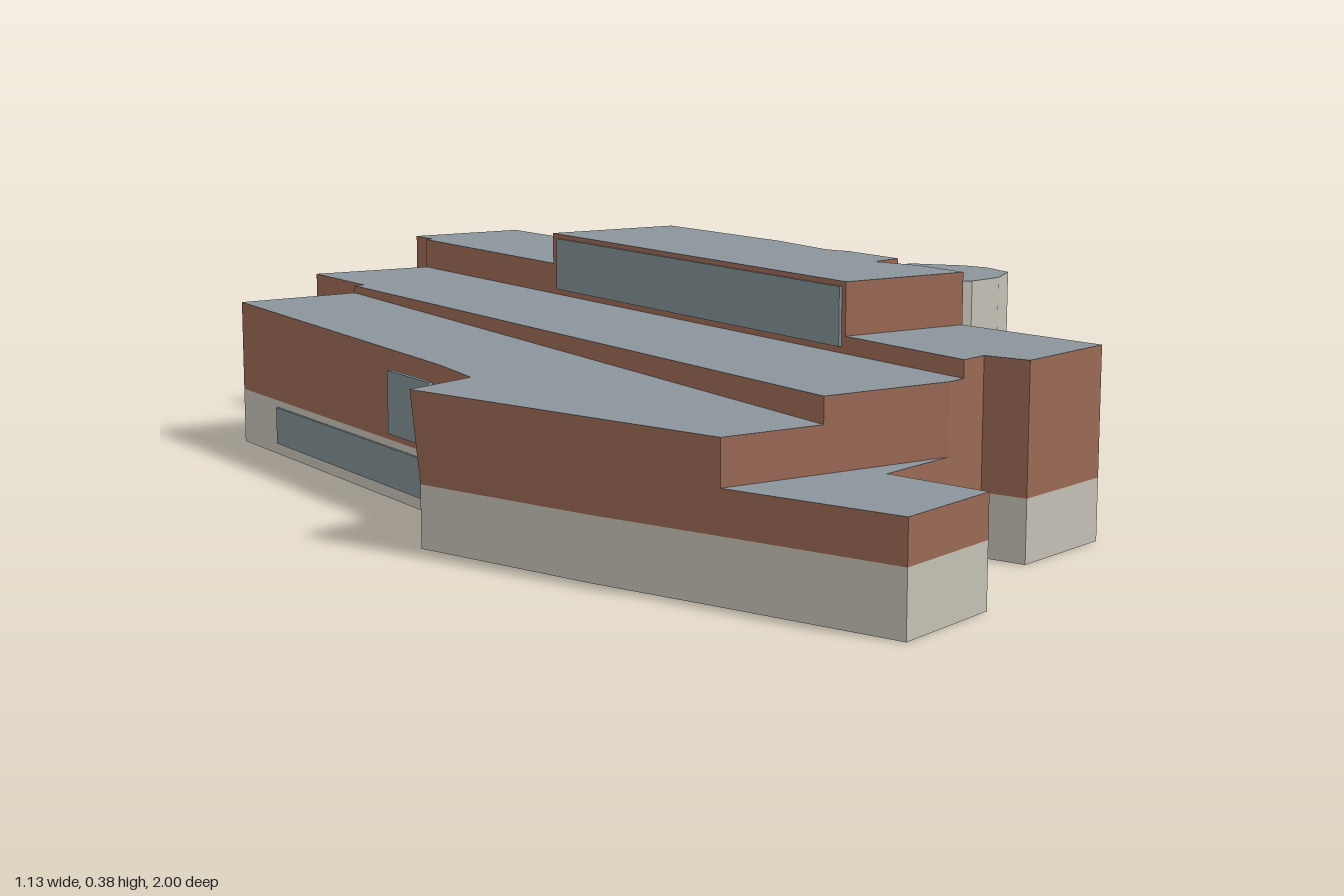
import * as THREE from 'three';

const BASE = 0.097; // top of the stone plinth

export function createModel() {
  const model = new THREE.Group();
  model.name = 'building';

  const mat = (name, color) => {
    const m = new THREE.MeshStandardMaterial({ color });
    m.name = name;
    return m;
  };
  const roof = mat('slate roof', 0x8a949b);
  const brick = mat('brick', 0x9a6854);
  const stone = mat('pale stone', 0xc4c0b5);
  stone.side = THREE.DoubleSide;
  const glass = mat('window glass', 0x7f8e90);

  // Vertical prism over a plan outline of [x, z] points
  const prism = (name, plan, y0, y1, wall, reshape) => {
    const shape = new THREE.Shape(plan.map(([x, z]) => new THREE.Vector2(x, -z)));
    const geo = new THREE.ExtrudeGeometry(shape, { depth: y1 - y0, bevelEnabled: false });
    geo.rotateX(-Math.PI / 2).translate(0, y0, 0);
    if (reshape) {
      const p = geo.attributes.position;
      for (let i = 0; i < p.count; i++) {
        const v = new THREE.Vector3().fromBufferAttribute(p, i);
        reshape(v);
        p.setXYZ(i, v.x, v.y, v.z);
      }
      geo.computeVertexNormals();
    }
    const mesh = new THREE.Mesh(geo, [roof, wall]);
    mesh.name = name;
    model.add(mesh);
  };

  // Left wing: roof falls gently to the front, flared corner leans outward
  prism('leftWing', [[-0.43, -0.72], [-0.2, -0.73], [-0.2, 0.725], [-0.37, 0.725],
    [-0.45, 0.515], [-0.565, 0.21], [-0.44, 0.165], [-0.43, 0.05]], BASE, 0.25, brick, (v) => {
    if (v.y > 0.2) v.y = 0.2435 - 0.0178 * v.z;
    else if (v.x < -0.56) v.x = -0.55;
  });

  // Central hall
  prism('centralHall', [[-0.2, -0.73], [-0.18, -0.73], [-0.18, -0.94], [0.055, -0.93],
    [0.055, 0.715], [0.022, 0.725], [-0.2, 0.725]], BASE, 0.27, brick);

  // Right range in three heights
  prism('rightRangeBack', [[0.055, -0.93], [0.07, -0.93], [0.07, -1], [0.30, -1],
    [0.312, -0.43], [0.055, -0.43]], BASE, 0.325, brick);
  prism('rightRangeMiddle', [[0.055, -0.43], [0.312, -0.43], [0.32, -0.1], [0.305, 0.06],
    [0.32, 0.105], [0.32, 0.235], [0.26, 0.25], [0.285, 0.33], [0.285, 0.44], [0.055, 0.44]],
  BASE, 0.38, brick);
  prism('rightRangeFront', [[0.055, 0.44], [0.285, 0.44], [0.32, 0.715], [0.13, 0.77],
    [0.105, 0.70], [0.055, 0.715]], BASE, 0.297, brick);

  // Low front annex
  prism('frontAnnex', [[-0.37, 0.725], [0.022, 0.725], [-0.125, 0.77], [-0.085, 0.935],
    [-0.27, 0.995]], BASE, 0.162, brick);

  // Round stone tower
  prism('tower', [[0.34, 0.06], [0.42, 0.04], [0.495, 0.06], [0.55, 0.13], [0.563, 0.175],
    [0.55, 0.245], [0.485, 0.295], [0.415, 0.31], [0.34, 0.275], [0.32, 0.235], [0.32, 0.105]],
  0, 0.344, stone);

  // Hollow stone plinth: one quad per side of the whole footprint
  const outline = [[-0.43, -0.72], [-0.18, -0.73], [-0.18, -0.94], [0.07, -0.93], [0.07, -1],
    [0.30, -1], [0.312, -0.43], [0.32, -0.1], [0.305, 0.06], [0.32, 0.105], [0.32, 0.235],
    [0.26, 0.25], [0.285, 0.33], [0.285, 0.44], [0.32, 0.715], [0.13, 0.77], [0.105, 0.70],
    [-0.125, 0.77], [-0.085, 0.935], [-0.27, 0.995], [-0.37, 0.725], [-0.45, 0.515],
    [-0.55, 0.21], [-0.44, 0.165], [-0.43, 0.05]];
  const pos = [];
  outline.forEach(([ax, az], i) => {
    const [bx, bz] = outline[(i + 1) % outline.length];
    pos.push(ax, 0, az, bx, BASE, bz, bx, 0, bz);
    pos.push(ax, 0, az, ax, BASE, az, bx, BASE, bz);
  });
  const plinthGeo = new THREE.BufferGeometry();
  plinthGeo.setAttribute('position', new THREE.Float32BufferAttribute(pos, 3));
  plinthGeo.computeVertexNormals();
  const plinth = new THREE.Mesh(plinthGeo, stone);
  plinth.name = 'plinth';
  model.add(plinth);

  // Glazing on the -x faces
  const pane = (name, x, y0, y1, z0, z1) => {
    const mesh = new THREE.Mesh(new THREE.BoxGeometry(0.008, y1 - y0, z1 - z0), glass);
    mesh.position.set(x, (y0 + y1) / 2, (z0 + z1) / 2);
    mesh.name = name;
    model.add(mesh);
  };
  pane('sideWindow', -0.441, 0.112, 0.215, -0.105, 0.035);
  pane('basementWindow', -0.43, 0.02, 0.085, -0.57, 0.01);
  pane('clerestoryWindow', 0.054, 0.28, 0.372, -0.41, 0.43);

  return model;
}
